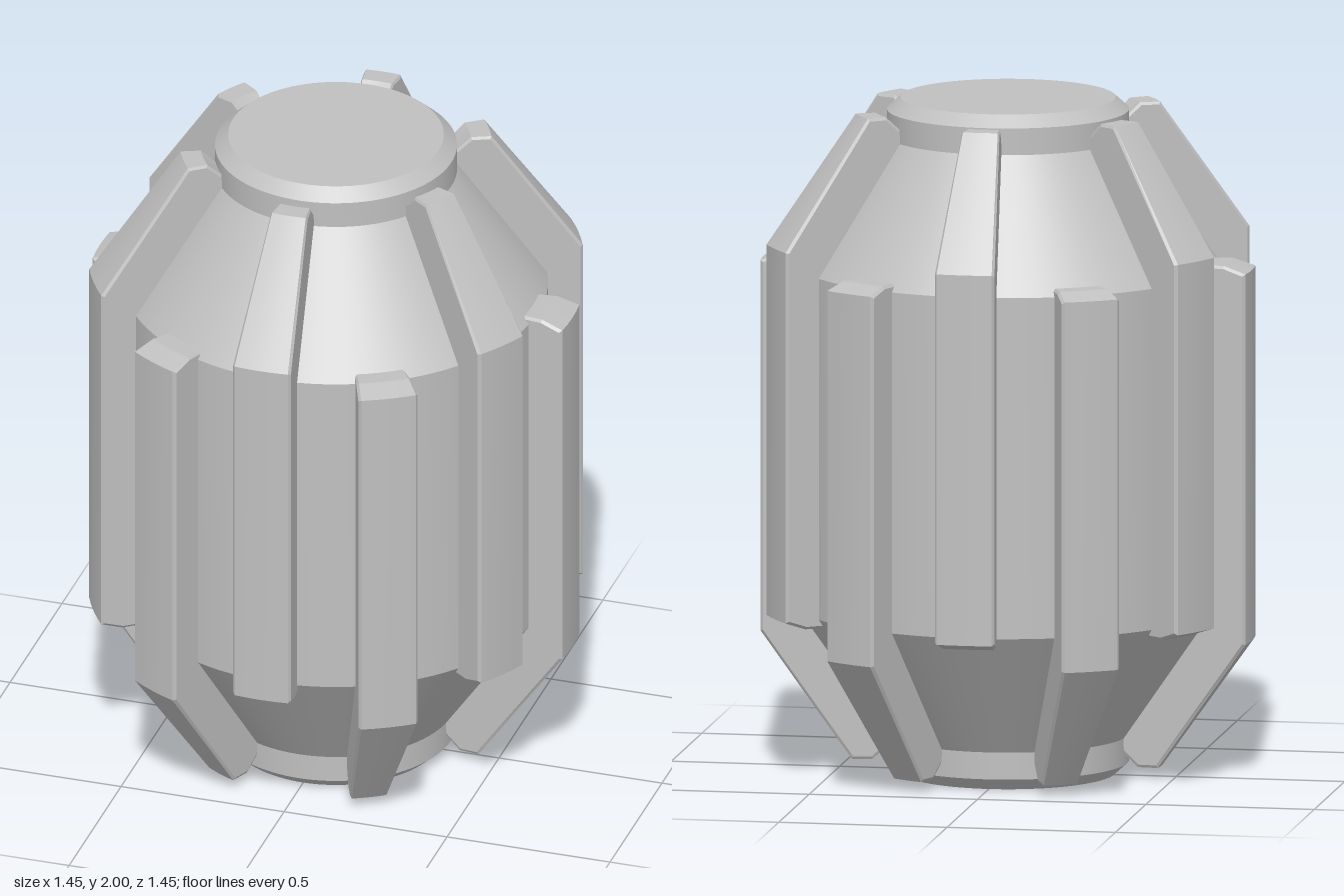
import * as THREE from 'three';
import { toCreasedNormals } from 'three/addons/utils/BufferGeometryUtils.js';

const HALF_ANGLE = 0.124; // half the sweep of one rib
const BEVEL = 0.008;

// Side profile of a rib (radius, height): bent inwards at the top, blunt at the bottom
const RIB_PROFILE = [
  [0.59, 0.47], [0.66, 0.47], [0.725, 0.492], [0.725, 1.59],
  [0.457, 1.968], [0.397, 1.968], [0.35, 1.925], [0.335, 1.865], [0.59, 1.5],
];

// Barrel profile: chamfered collar, cone, cylinder, cone, chamfered collar
const BODY_PROFILE = [
  [0, 0], [0.315, 0], [0.354, 0.035], [0.354, 0.115], [0.62, 0.496],
  [0.62, 1.507], [0.354, 1.886], [0.354, 1.965], [0.315, 2], [0, 2],
];

const toVectors = (points) => points.map(([x, y]) => new THREE.Vector2(x, y));

// Extrude the profile with bevelled edges, then wrap its depth around the axis
function makeRibGeometry(flipped) {
  const outline = flipped ? RIB_PROFILE.map(([r, y]) => [r, 2 - y]).reverse() : RIB_PROFILE;
  const depth = 2 * (HALF_ANGLE * 0.725 - BEVEL);
  const geometry = new THREE.ExtrudeGeometry(new THREE.Shape(toVectors(outline)), {
    depth, steps: 4, bevelEnabled: true, bevelSegments: 1,
    bevelSize: BEVEL, bevelThickness: BEVEL, bevelOffset: -BEVEL,
  });
  const pos = geometry.attributes.position;
  for (let i = 0; i < pos.count; i++) {
    const r = pos.getX(i);
    const angle = (pos.getZ(i) - depth / 2) / 0.725;
    pos.setXYZ(i, -r * Math.sin(angle), pos.getY(i), r * Math.cos(angle));
  }
  return toCreasedNormals(geometry, 0.2);
}

export function createModel() {
  const model = new THREE.Group();
  model.name = 'ribbedBarrel';
  const grey = new THREE.MeshStandardMaterial({ color: 0xc0c0c0 });
  grey.name = 'lightGrey';

  // Central barrel
  const bodyGeometry = new THREE.LatheGeometry(toVectors(BODY_PROFILE), 96);
  const body = new THREE.Mesh(toCreasedNormals(bodyGeometry, 0.3), grey);
  body.name = 'barrel';
  model.add(body);

  // Twelve ribs, alternately hooked over the top and under the bottom
  const upper = makeRibGeometry(false);
  const lower = makeRibGeometry(true);
  for (let i = 0; i < 12; i++) {
    const isUpper = i % 2 === 0;
    const rib = new THREE.Mesh(isUpper ? upper : lower, grey);
    rib.name = isUpper ? 'upperRib' : 'lowerRib';
    rib.rotation.y = (i * Math.PI) / 6;
    model.add(rib);
  }
  return model;
}
